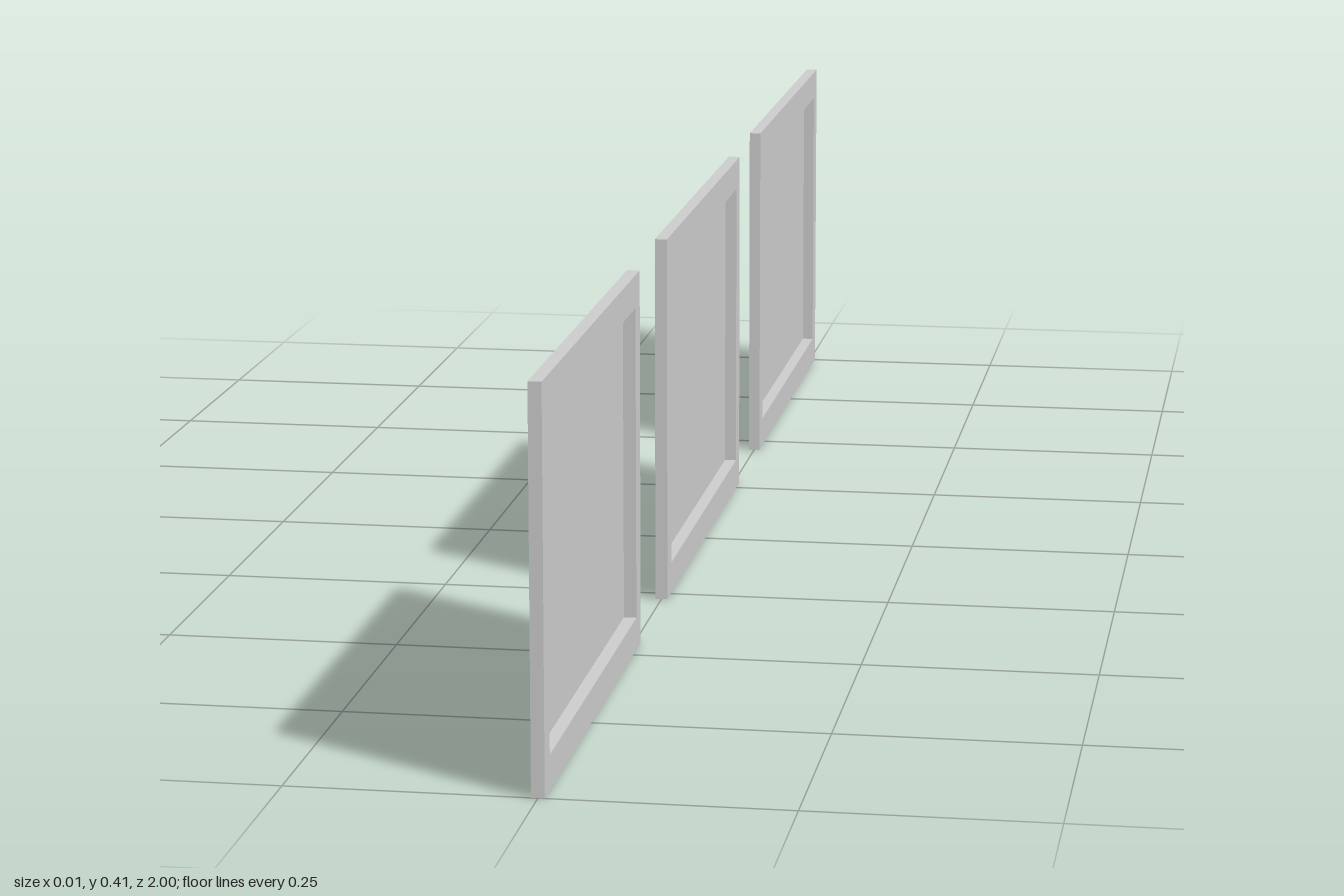
import * as THREE from 'three';

const W = 0.548, H = 0.406, T = 0.0134;   // panel width (z), height (y), thickness (x)
const RIM_Z = 0.027, RIM_Y = 0.035;       // rim widths around the recess
const SPACING = 0.726;

// Rectangle of four corners, counter-clockwise seen from +x
function rectangle(x, inset) {
  const z = W / 2 - inset * RIM_Z;
  const y0 = inset * RIM_Y, y1 = H - inset * RIM_Y;
  return [[x, y0, z], [x, y0, -z], [x, y1, -z], [x, y1, z]];
}

// Flat-faced surface from a list of quads
function quads(list) {
  const positions = list.flatMap(([a, b, c, d]) => [a, b, c, a, c, d].flat());
  const geometry = new THREE.BufferGeometry();
  geometry.setAttribute('position', new THREE.Float32BufferAttribute(positions, 3));
  geometry.computeVertexNormals();
  return geometry;
}

// Band of four quads joining two rectangles
function band(a, b) {
  return quads([0, 1, 2, 3].map((i) => {
    const j = (i + 1) % 4;
    return [a[i], a[j], b[j], b[i]];
  }));
}

export function createModel() {
  const material = new THREE.MeshStandardMaterial({ color: 0xcccccc, side: THREE.DoubleSide });

  const outerBack = rectangle(-T / 2, 0), outerFront = rectangle(T / 2, 0);
  const innerFront = rectangle(T / 2, 1), innerBack = rectangle(-T / 2, 1);

  // Thin shell, open behind the rim, with a recessed centre
  const parts = {
    outerEdge: band(outerBack, outerFront),
    rimFace: band(outerFront, innerFront),
    recessWall: band(innerFront, innerBack),
    recessedPanel: quads([innerBack]),
  };

  const model = new THREE.Group();
  model.name = 'framedPanels';
  ['rearPanel', 'middlePanel', 'frontPanel'].forEach((name, i) => {
    const panel = new THREE.Group();
    panel.name = name;
    for (const [part, geometry] of Object.entries(parts)) {
      const mesh = new THREE.Mesh(geometry, material);
      mesh.name = part;
      panel.add(mesh);
    }
    panel.position.z = (i - 1) * SPACING;
    model.add(panel);
  });
  return model;
}
